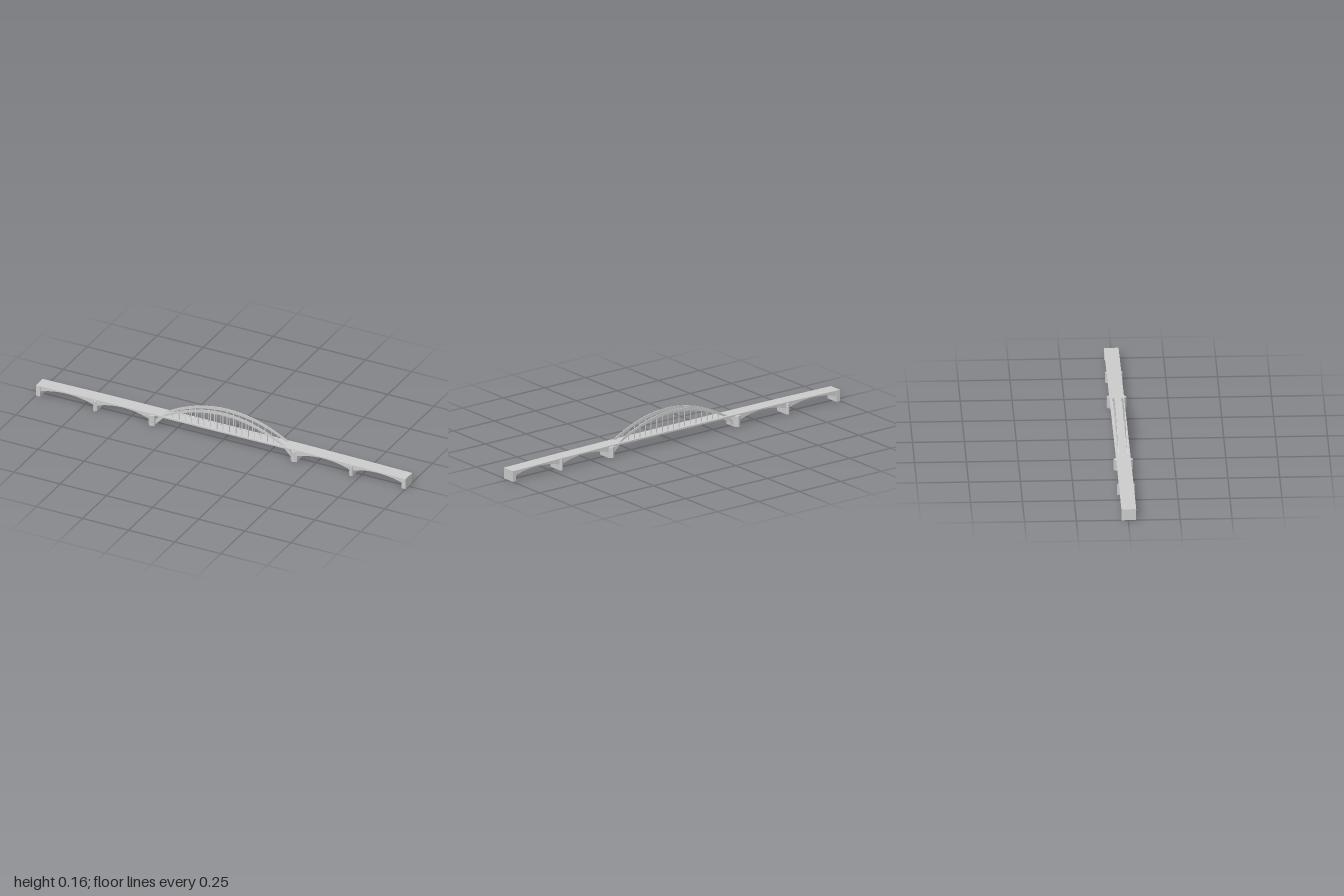
import * as THREE from 'three';

const DECK_HALF = 0.0357;
const MID = 0.012; // centre of the main span

export function createModel() {
  const model = new THREE.Group();
  const mat = new THREE.MeshStandardMaterial({ color: 0xcccccc, flatShading: true });

  const add = (geometry, name, x = 0, y = 0, z = 0) => {
    const mesh = new THREE.Mesh(geometry, mat);
    mesh.name = name;
    mesh.position.set(x, y, z);
    model.add(mesh);
    return mesh;
  };
  const toShape = (pts) => new THREE.Shape(pts.map(([x, y]) => new THREE.Vector2(x, y)));
  // Extrude an x-y profile, centred across the bridge
  const across = (shape, width) =>
    new THREE.ExtrudeGeometry(shape, { depth: width, bevelEnabled: false, curveSegments: 20 })
      .translate(0, 0, -width / 2);

  // Road surface: rises gently from both ends to the main span
  const profile = [[-1, 0.057], [-0.68, 0.061], [-0.37, 0.062], [0.39, 0.062], [0.705, 0.059], [1, 0.054]];
  const deckY = (x) => {
    let i = 1;
    while (i < profile.length - 1 && x > profile[i][0]) i++;
    const [a, b] = [profile[i - 1], profile[i]];
    return a[1] + (b[1] - a[1]) * (x - a[0]) / (b[0] - a[0]);
  };
  const underside = profile.map(([x, y]) => [x, y - 0.005]).reverse();
  add(across(toShape([...profile, ...underside]), DECK_HALF * 2), 'deck');

  // Slim girder below the deck of the main span
  add(new THREE.BoxGeometry(0.75, 0.005, 0.066), 'mainGirder', MID, 0.0555);

  // Solid side spans with a curved soffit
  for (const [x0, x1] of [[-0.98, -0.685], [-0.675, -0.385], [0.405, 0.7], [0.71, 0.985]]) {
    const xm = (x0 + x1) / 2;
    const spring = 0.028;
    const crown = deckY(xm) - 0.007;
    const s = new THREE.Shape();
    s.moveTo(x0, deckY(x0) - 0.004);
    s.lineTo(x0, spring);
    s.quadraticCurveTo(xm, 2 * crown - spring, x1, spring);
    s.lineTo(x1, deckY(x1) - 0.004);
    add(across(s, 0.067), 'sideSpan');
  }

  // Piers with pointed noses
  const addPier = (x, width, half, height, name) => {
    const w = width / 2, t = width * 0.08, shoulder = 0.036;
    const plan = toShape([
      [-w, -shoulder], [-t, -half], [t, -half], [w, -shoulder],
      [w, shoulder], [t, half], [-t, half], [-w, shoulder],
    ]);
    const g = new THREE.ExtrudeGeometry(plan, { depth: height, bevelEnabled: false });
    add(g.rotateX(-Math.PI / 2), name, x);
  };
  addPier(-0.374, 0.034, 0.047, 0.0545, 'mainPier');
  addPier(0.396, 0.034, 0.047, 0.0545, 'mainPier');
  addPier(-0.68, 0.02, 0.043, 0.052, 'sidePier');
  addPier(0.705, 0.02, 0.043, 0.052, 'sidePier');

  // End abutments
  for (const [x0, x1] of [[-1, -0.977], [0.98, 1]]) {
    const s = toShape([[x0, 0], [x1, 0], [x1, deckY(x1) - 0.001], [x0, deckY(x0) - 0.001]]);
    add(across(s, DECK_HALF * 2 - 0.001), 'abutment');
  }

  // Arch rib curves, measured from the middle of the main span
  const outer = (x) => 0.159 - 0.097 * (x / 0.333) ** 2;
  const inner = (x) => 0.143 - 0.083 * (x / 0.316) ** 2;
  const top = [], bottom = [];
  for (let i = 0; i <= 32; i++) {
    const u = i / 16 - 1;
    top.push([u * 0.333, outer(u * 0.333)]);
    bottom.push([u * 0.316, inner(u * 0.316)]);
  }
  const ribShape = toShape([
    [-0.37, 0.03], ...top, [0.37, 0.03], [0.37, 0.004], ...bottom.reverse(), [-0.37, 0.004],
  ]);

  // Two arch ribs, each with a row of hangers
  for (const side of [-1, 1]) {
    const z = side * 0.0215 + 0.001;
    add(across(ribShape, 0.0035), 'archRib', MID, 0, z);
    for (let i = -8; i <= 8; i++) {
      const x = i * 0.0342 - 0.005;
      const h = inner(x) + 0.003 - 0.06;
      add(new THREE.BoxGeometry(0.004, h, 0.0025), 'hanger', MID + x, 0.06 + h / 2, z);
    }
  }

  // The bridge lies at a very slight angle
  model.rotation.y = 0.0028;
  const group = new THREE.Group();
  group.name = 'archBridge';
  group.add(model);
  return group;
}
